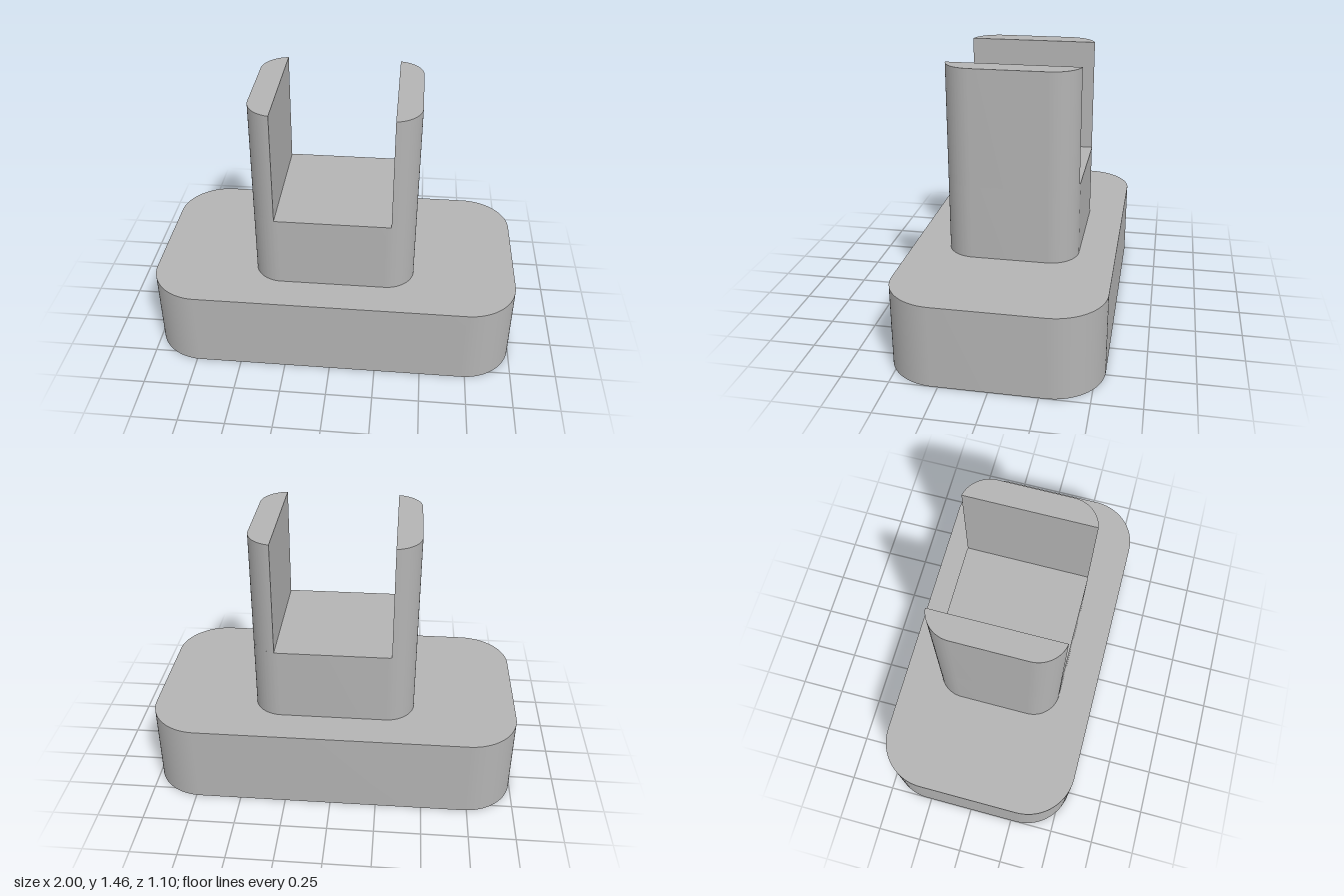
import * as THREE from 'three';
import { toCreasedNormals } from 'three/addons/utils/BufferGeometryUtils.js';

const BASE = { hx: 1, hz: 0.55, r: 0.27, top: 0.44 };
const POST = { hx: 0.44, hz: 0.352, r: 0.155, top: 0.84 };
const SLOT_X = 0.31, PRONG_TOP = 1.46;

// Plan outline with rounded corners
function roundedPlan({ hx, hz, r }) {
  const s = new THREE.Shape();
  s.absarc(hx - r, hz - r, r, 0, Math.PI / 2);
  s.absarc(r - hx, hz - r, r, Math.PI / 2, Math.PI);
  s.absarc(r - hx, r - hz, r, Math.PI, Math.PI * 1.5);
  s.absarc(hx - r, r - hz, r, Math.PI * 1.5, Math.PI * 2);
  s.closePath();
  return s;
}

// The part of the post's plan outside the slot, on the +x side
function prongPlan({ hx, hz, r }) {
  const a = Math.acos((SLOT_X - (hx - r)) / r);
  const s = new THREE.Shape();
  s.absarc(hx - r, r - hz, r, -a, 0);
  s.absarc(hx - r, hz - r, r, 0, a);
  s.closePath();
  return s;
}

// Raise a plan outline from y0 to y1
function raise(shape, y0, y1) {
  const g = new THREE.ExtrudeGeometry(shape, { depth: y1 - y0, bevelEnabled: false, curveSegments: 16 });
  g.rotateX(-Math.PI / 2).translate(0, y0, 0);
  return toCreasedNormals(g, 0.5);
}

export function createModel() {
  const group = new THREE.Group();
  const grey = new THREE.MeshStandardMaterial({ color: 0xb3b3b3 });
  grey.name = 'grey';

  const add = (name, geometry) => {
    const mesh = new THREE.Mesh(geometry, grey);
    mesh.name = name;
    group.add(mesh);
    return mesh;
  };

  add('base', raise(roundedPlan(BASE), 0, BASE.top));
  add('post', raise(roundedPlan(POST), BASE.top, POST.top));

  // Two upright prongs either side of the slot
  const prong = raise(prongPlan(POST), POST.top, PRONG_TOP);
  add('leftProng', prong);
  add('rightProng', prong).rotation.y = Math.PI;

  return group;
}
